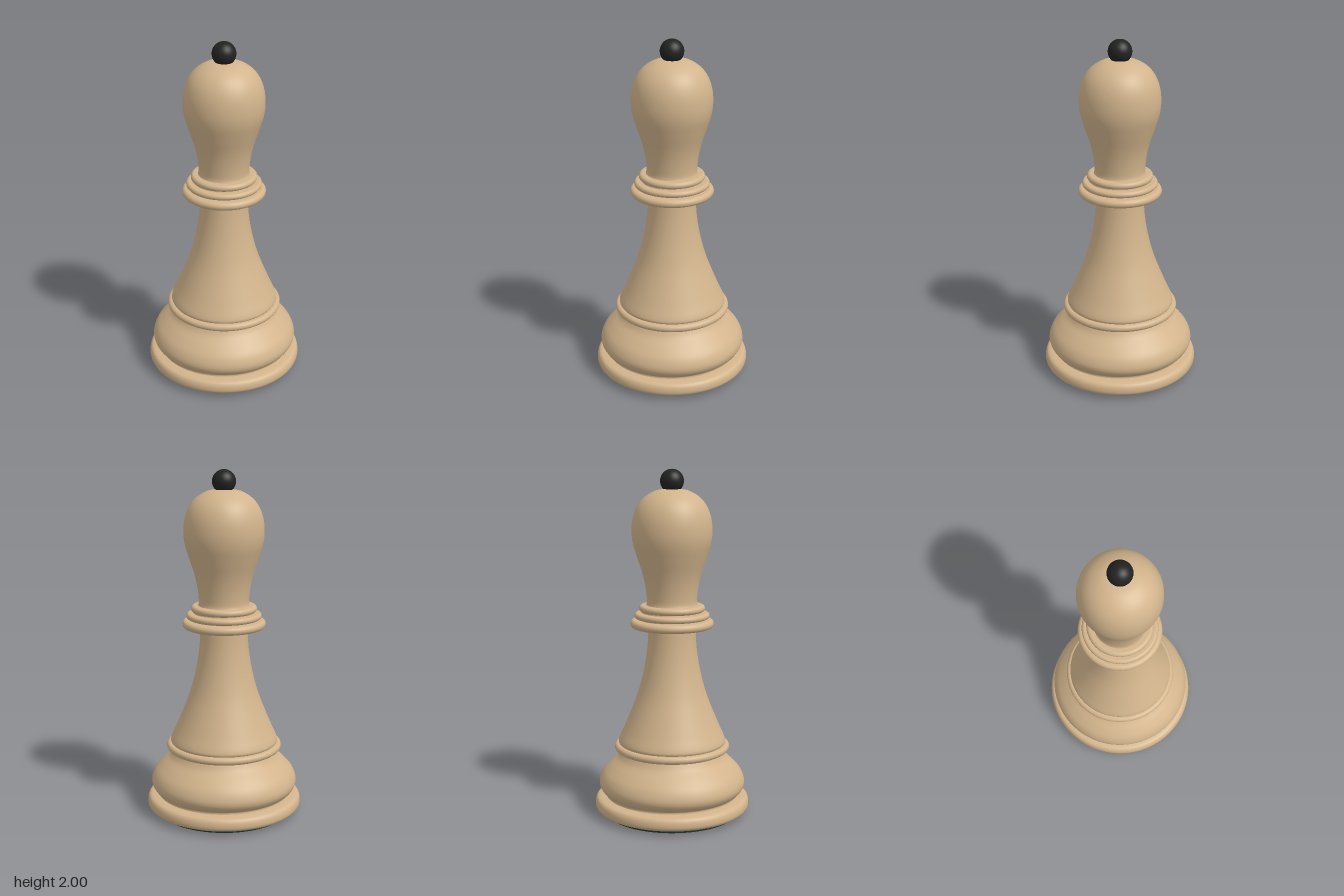
import * as THREE from 'three';

const SEGMENTS = 96;
const wood = new THREE.MeshStandardMaterial({ color: 0xd2b48c, side: THREE.DoubleSide });
const black = new THREE.MeshStandardMaterial({ color: 0x222222 });
const felt = new THREE.MeshStandardMaterial({ color: 0x1a3328 });

export function createModel() {
  const group = new THREE.Group();

  const add = (name, geometry, material) => {
    const mesh = new THREE.Mesh(geometry, material);
    mesh.name = name;
    group.add(mesh);
    return mesh;
  };

  // Smooth turned part: [radius, height] points from bottom to top
  const turned = (name, points, samples = 32) => {
    const curve = new THREE.SplineCurve(points.map(([r, y]) => new THREE.Vector2(r, y)));
    const profile = curve.getPoints(samples);
    profile.forEach((p) => { p.x = Math.max(p.x, 0); });
    add(name, new THREE.LatheGeometry(profile, SEGMENTS), wood);
  };

  // Rounded ring with flat faces running in to the inner radius
  const ring = (name, inner, outer, y0, y1) => {
    const h = (y1 - y0) / 2;
    const profile = [new THREE.Vector2(inner, y0)];
    for (let i = 0; i <= 12; i++) {
      const a = -Math.PI / 2 + (Math.PI * i) / 12;
      profile.push(new THREE.Vector2(outer - h + h * Math.cos(a), y0 + h + h * Math.sin(a)));
    }
    profile.push(new THREE.Vector2(inner, y1));
    add(name, new THREE.LatheGeometry(profile, SEGMENTS), wood);
  };

  // Felt pad underneath
  add('feltPad', new THREE.CylinderGeometry(0.395, 0.395, 0.025, SEGMENTS), felt).position.y = 0.0125;

  // Foot and wide lower body
  turned('foot', [[0.38, 0.02], [0.43, 0.024], [0.449, 0.038], [0.453, 0.06],
    [0.447, 0.085], [0.43, 0.1], [0.385, 0.107]]);
  turned('lowerBody', [[0.39, 0.1], [0.388, 0.118], [0.408, 0.135], [0.425, 0.165], [0.425, 0.2],
    [0.405, 0.245], [0.365, 0.29], [0.32, 0.333], [0.298, 0.37]], 48);

  // Ring between body and stem
  ring('bodyRing', 0.28, 0.336, 0.374, 0.418);

  // Flared stem
  turned('stem', [[0.3, 0.41], [0.312, 0.425], [0.307, 0.45], [0.28, 0.51], [0.238, 0.61], [0.2, 0.71],
    [0.172, 0.81], [0.152, 0.91], [0.14, 1.01], [0.135, 1.12]], 48);

  // Three stacked collar rings
  [[0.24, 1.1, 1.148], [0.216, 1.153, 1.188], [0.189, 1.193, 1.232]].forEach(([r, y0, y1], i) =>
    ring('collarRing' + (i + 1), 0.1, r, y0, y1));
  add('collarCore', new THREE.CylinderGeometry(0.165, 0.195, 0.1, SEGMENTS, 1, true), wood).position.y = 1.17;

  // Bulb-shaped head
  turned('head', [[0.155, 1.22], [0.144, 1.25], [0.151, 1.33], [0.168, 1.41], [0.197, 1.5], [0.221, 1.58],
    [0.229, 1.65], [0.222, 1.725], [0.199, 1.79], [0.16, 1.84], [0.105, 1.875], [0.05, 1.888], [0, 1.89]], 64);

  // Ball on top
  add('topBall', new THREE.SphereGeometry(0.067, 48, 32), black).position.y = 1.933;

  return group;
}
